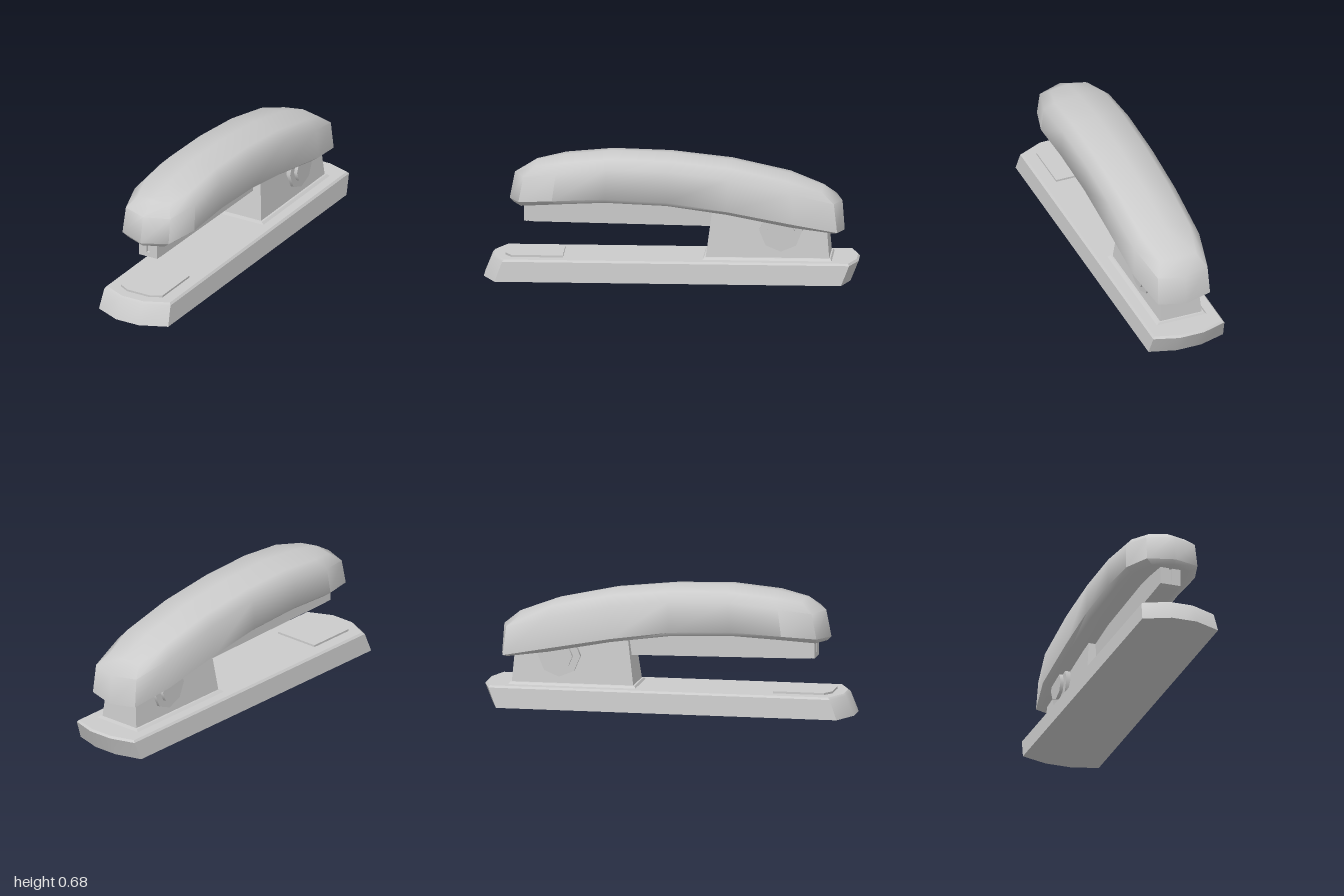
import * as THREE from 'three';
import { toCreasedNormals } from 'three/addons/utils/BufferGeometryUtils.js';

const grey = new THREE.MeshStandardMaterial({ color: 0xcccccc });

function add(group, name, geometry, x = 0, y = 0, z = 0) {
  const mesh = new THREE.Mesh(geometry, grey);
  mesh.name = name;
  mesh.position.set(x, y, z);
  group.add(mesh);
  return mesh;
}

// Stacks mirrored outlines from bottom to top. Each half outline lists [x, y, z]
// from the front centre round the +x side to the rear centre.
function loft(halves, crease) {
  const flat = half => half.map(([, y, z]) => [0, y, z]);
  const rows = [flat(halves[0]), ...halves];
  // close the top along its centre line unless the last outline already lies on it
  const last = halves[halves.length - 1];
  if (last.some(p => p[0] > 0)) rows.push(flat(last));
  const rings = rows.map(h => [...h, ...h.slice(1, -1).reverse().map(([x, y, z]) => [-x, y, z])]
    .map(p => new THREE.Vector3(...p)));
  const out = [];
  const tri = (a, b, c) => {
    const area = b.clone().sub(a).cross(c.clone().sub(a)).length();
    if (area > 1e-7) for (const p of [a, b, c]) out.push(p.x, p.y, p.z);
  };
  for (let k = 0; k + 1 < rings.length; k++) {
    const lo = rings[k], hi = rings[k + 1];
    for (let i = 0; i < lo.length; i++) {
      const j = (i + 1) % lo.length;
      tri(lo[i], lo[j], hi[j]);
      tri(lo[i], hi[j], hi[i]);
    }
  }
  const g = new THREE.BufferGeometry();
  g.setAttribute('position', new THREE.Float32BufferAttribute(out, 3));
  return toCreasedNormals(g, crease);
}

// Long plate outline with clipped ends
const plate = (y, w, nose, front, frontCorner, rearCorner, rear) => [
  [0, y, front], [nose, y, front], [w, y, frontCorner],
  [w, y, rearCorner], [nose, y, rear], [0, y, rear],
];
const rect = (y, w, front, rear) => [[0, y, front], [w, y, front], [w, y, rear], [0, y, rear]];

export function createModel() {
  const model = new THREE.Group();
  model.name = 'stapler';

  // Base with raked ends and a small bevel round the top
  add(model, 'base', loft([
    plate(0, 0.215, 0.07, 1, 0.935, -0.914, -0.957),
    plate(0.107, 0.205, 0.07, 0.957, 0.895, -0.957, -1),
    plate(0.118, 0.195, 0.066, 0.945, 0.885, -0.95, -0.99),
  ], 0.6));

  // Anvil plate on the front of the base
  add(model, 'anvil', loft([0.115, 0.129].map(y =>
    plate(y, 0.13, 0.07, 0.885, 0.85, 0.575, 0.575)), 0.6));

  // Hinge post with a flared foot
  add(model, 'hingePost', loft([
    rect(0.115, 0.147, -0.17, -0.862),
    rect(0.129, 0.13, -0.178, -0.853),
    rect(0.13, 0.12, -0.187, -0.846),
    rect(0.39, 0.095, -0.222, -0.825),
  ], 0.3));

  // Eight-sided hinge discs and pin heads
  for (const side of [-1, 1]) {
    for (const [name, r, reach] of [['hingeDisc', 0.115, 0.129], ['hingePin', 0.075, 0.148]]) {
      const g = new THREE.CylinderGeometry(r, r, reach - 0.05, 8).rotateZ(Math.PI / 2);
      add(model, name, g, side * (reach + 0.05) / 2, 0.28, -0.588);
    }
  }

  // Staple magazine: side profile extruded across, slotted at the front
  const magazine = new THREE.Group();
  magazine.name = 'magazine';
  model.add(magazine);
  const profile = new THREE.Shape([
    [-0.3, 0.283], [0.75, 0.298], [0.77, 0.302], [0.77, 0.43], [-0.3, 0.4],
  ].map(p => new THREE.Vector2(...p)));
  const body = new THREE.ExtrudeGeometry(profile, { depth: 0.114, bevelEnabled: false });
  add(magazine, 'magazineBody', body.rotateY(-Math.PI / 2), 0.057);
  for (const side of [-1, 1]) {
    add(magazine, 'magazineCheek', new THREE.BoxGeometry(0.049, 0.105, 0.017), side * 0.0325, 0.3775, 0.777);
  }
  add(magazine, 'magazineLip', new THREE.BoxGeometry(0.114, 0.025, 0.017), 0, 0.3125, 0.777);

  // Arched cover: underside, wall foot, wall top, shoulder and crown line
  const shoulder = [
    [0, 0.615, 0.743], [0.1, 0.608, 0.725], [0.142, 0.637, 0.57], [0.142, 0.66, 0.32], [0.142, 0.652, 0.01],
    [0.142, 0.617, -0.315], [0.14, 0.55, -0.625], [0.105, 0.486, -0.805], [0, 0.492, -0.824],
  ];
  const crownY = [0.615, 0.622, 0.653, 0.679, 0.671, 0.636, 0.568, 0.5, 0.492];
  add(model, 'cover', loft([
    [
      [0, 0.392, 0.845], [0.11, 0.393, 0.8], [0.165, 0.415, 0.61], [0.168, 0.428, 0.35], [0.168, 0.415, 0.02],
      [0.168, 0.371, -0.3], [0.163, 0.305, -0.64], [0.125, 0.266, -0.87], [0, 0.258, -0.9],
    ],
    [
      [0, 0.413, 0.866], [0.143, 0.42, 0.812], [0.195, 0.438, 0.63], [0.196, 0.452, 0.35], [0.196, 0.438, 0.02],
      [0.196, 0.392, -0.3], [0.194, 0.325, -0.66], [0.15, 0.275, -0.89], [0, 0.262, -0.922],
    ],
    [
      [0, 0.556, 0.838], [0.138, 0.556, 0.785], [0.188, 0.582, 0.61], [0.19, 0.612, 0.34], [0.19, 0.604, 0.015],
      [0.19, 0.565, -0.31], [0.187, 0.49, -0.65], [0.143, 0.43, -0.872], [0, 0.422, -0.91],
    ],
    shoulder,
    shoulder.map(([, , z], i) => [0, crownY[i], z]),
  ], 0.95));

  return model;
}
